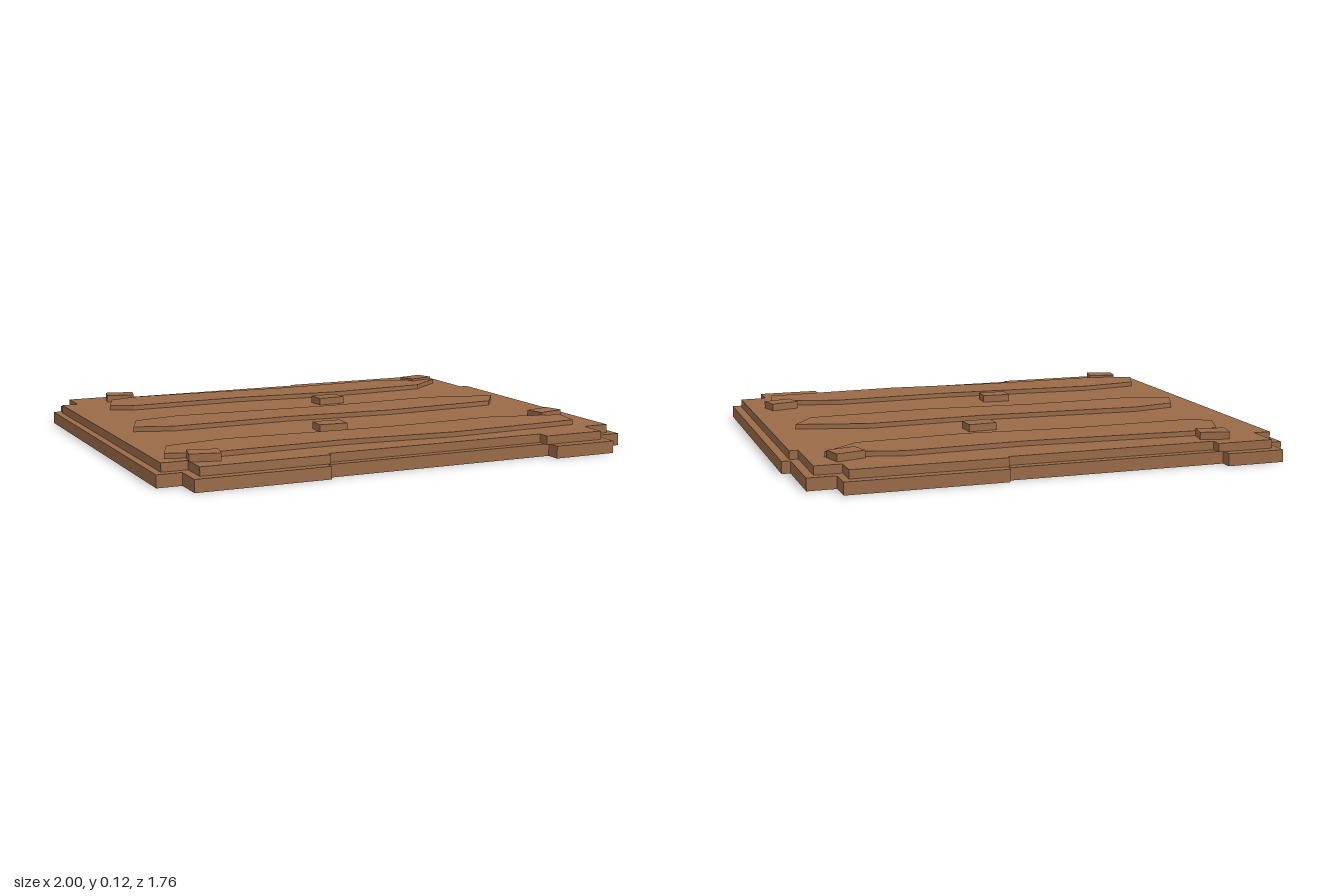
import * as THREE from 'three';

// Upright prism from an [x, z] outline, standing between two heights
function slab(name, outline, bottom, height, material) {
  const shape = new THREE.Shape(outline.map(([x, z]) => new THREE.Vector2(x, -z)));
  const geometry = new THREE.ExtrudeGeometry(shape, { depth: height, bevelEnabled: false });
  geometry.rotateX(-Math.PI / 2);
  const mesh = new THREE.Mesh(geometry, material);
  mesh.name = name;
  mesh.position.y = bottom;
  return mesh;
}

export function createModel() {
  const model = new THREE.Group();
  model.name = 'dirtPatch';
  const dirt = new THREE.MeshStandardMaterial({ color: 0x9a6b48 });
  dirt.name = 'dirt brown';

  // Wide lower layer with a stepped outline
  model.add(slab('lowerLayer', [
    [-1, -0.74], [-0.93, -0.74], [-0.93, -0.88], [-0.69, -0.88], [-0.69, -0.83],
    [0.21, -0.83], [0.21, -0.855], [0.85, -0.855], [0.85, -0.75], [0.965, -0.75],
    [0.965, -0.45], [1, -0.45], [1, 0.755], [0.885, 0.755], [0.885, 0.88],
    [0.615, 0.88], [0.615, 0.82], [-0.36, 0.82], [-0.36, 0.85], [-0.9, 0.85],
    [-0.9, 0.72], [-1, 0.72],
  ], 0, 0.05, dirt));

  // Slightly smaller upper layer
  model.add(slab('upperLayer', [
    [-0.97, -0.7], [-0.9, -0.7], [-0.9, -0.84], [-0.665, -0.84], [-0.665, -0.795],
    [0.2, -0.795], [0.2, -0.815], [0.82, -0.815], [0.82, -0.715], [0.93, -0.715],
    [0.93, -0.43], [0.965, -0.43], [0.965, 0.72], [0.855, 0.72], [0.855, 0.835],
    [0.595, 0.835], [0.595, 0.785], [-0.345, 0.785], [-0.345, 0.81], [-0.865, 0.81],
    [-0.865, 0.685], [-0.97, 0.685],
  ], 0.05, 0.035, dirt));

  // Three furrow ridges: a shared wavy outline with different end positions
  const ridges = [
    { z: -0.55, tip: -0.81, shoulder: -0.76, heel: -0.715, end: 0.705 },
    { z: 0, tip: -0.875, shoulder: -0.82, heel: -0.72, end: 0.77 },
    { z: 0.563, tip: -0.935, shoulder: -0.88, heel: -0.77, end: 0.835 },
  ];
  ridges.forEach(({ z, tip, shoulder, heel, end }, i) => {
    const outline = [
      [tip, 0.055], [shoulder, -0.083], [-0.63, -0.123], [0.075, -0.087], [0.565, -0.108],
      [0.86, -0.028], [end, 0.1], [0.26, 0.13], [-0.21, 0.093], [heel, 0.107],
    ];
    const ridge = slab('ridge' + (i + 1), outline, 0.085, 0.02, dirt);
    ridge.position.z = z;
    model.add(ridge);
  });

  // Loose clods: x, z, turn
  const clods = [
    [-0.695, -0.725, -0.23], [0.785, -0.62, 0.27], [0.14, -0.265, 0.06],
    [-0.13, 0.34, -0.06], [0.83, 0.455, 0.27], [-0.805, 0.69, -0.23],
  ];
  const clodGeometry = new THREE.BoxGeometry(0.12, 0.03, 0.083);
  clods.forEach(([x, z, turn], i) => {
    const clod = new THREE.Mesh(clodGeometry, dirt);
    clod.name = 'clod' + (i + 1);
    clod.position.set(x, 0.1, z);
    clod.rotation.y = turn;
    model.add(clod);
  });

  return model;
}
